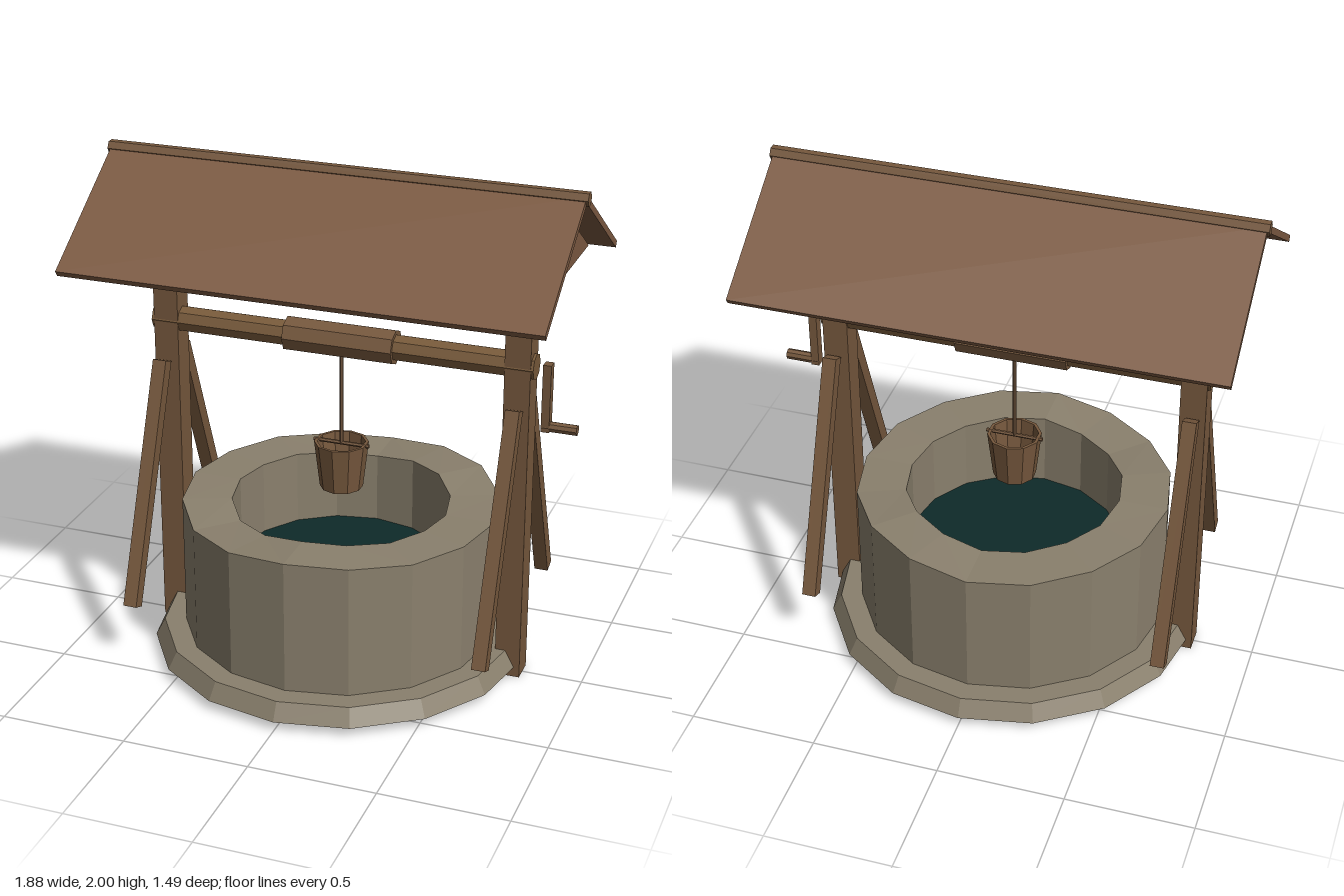
import * as THREE from 'three';

const mat = (name, color, opts = {}) => {
  const m = new THREE.MeshStandardMaterial({ color, flatShading: true, ...opts });
  m.name = name;
  return m;
};

export function createModel() {
  const model = new THREE.Group();
  model.name = 'well';
  const stone = mat('stone', 0x8a806d);
  const wood = mat('wood', 0x76583d);
  const roofWood = mat('roofWood', 0x7c5a42);
  const axleWood = mat('axleWood', 0x785a3a);
  const rope = mat('rope', 0x6a503a);
  const water = mat('water', 0x0e2a29);

  const add = (name, geo, material, x = 0, y = 0, z = 0) => {
    const mesh = new THREE.Mesh(geo, material);
    mesh.name = name;
    mesh.position.set(x, y, z);
    model.add(mesh);
    return mesh;
  };
  const box = (w, h, d) => new THREE.BoxGeometry(w, h, d);
  // cylinder lying along x
  const rod = (r, length, sides) => new THREE.CylinderGeometry(r, r, length, sides).rotateZ(Math.PI / 2);
  const lathe = (pts, sides) => new THREE.LatheGeometry(pts.map(p => new THREE.Vector2(...p)), sides);

  // stone footing and well wall with a slightly uneven rim
  add('footing', new THREE.CylinderGeometry(0.71, 0.747, 0.07, 16), stone, 0, 0.075, 0);
  const wall = lathe([[0.625, 0.1], [0.625, 0.64], [0.43, 0.64], [0.43, 0.1]], 16);
  const p = wall.attributes.position;
  for (let i = 0; i < p.count; i++) {
    if (p.getY(i) < 0.5) continue;
    const a = Math.atan2(p.getX(i), p.getZ(i));
    p.setY(i, 0.638 + 0.009 * Math.sin(3 * a + 0.6) + 0.006 * Math.cos(5 * a));
  }
  wall.computeVertexNormals();
  add('wall', wall, stone);
  add('water', new THREE.CircleGeometry(0.43, 16).rotateX(-Math.PI / 2), water, 0, 0.34, 0);

  // posts with two slanted braces each
  for (const sx of [-1, 1]) {
    add('post', box(0.1, 1.62, 0.1), wood, sx * 0.71, 0.81, 0);
    for (const sz of [-1, 1]) {
      const brace = add('brace', box(0.055, 0.977, 0.055), wood, sx * 0.713, 0.7, sz * 0.268);
      brace.rotation.x = -sz * Math.atan2(0.355, 0.91);
    }
  }

  // windlass: axle, drum and crank
  add('axle', rod(0.052, 1.54, 8), axleWood, 0, 1.304, 0);
  add('drum', rod(0.069, 0.44, 8), wood, 0, 1.304, 0);
  add('crankArm', box(0.032, 0.27, 0.04), wood, 0.815, 1.187, 0);
  add('crankHandle', rod(0.021, 0.135, 8), wood, 0.868, 1.07, 0);

  // rope and open bucket with a cross bar
  add('rope', new THREE.CylinderGeometry(0.008, 0.008, 0.39, 6), rope, 0, 1.065, 0);
  add('bucket', lathe([[0, 0.69], [0.085, 0.69], [0.107, 0.88], [0.095, 0.88], [0.078, 0.71], [0, 0.71]], 10), wood);
  add('bucketBar', rod(0.008, 0.228, 6), wood, 0, 0.874, 0);

  // roof slopes, ridge and gables
  const slope = Math.atan2(0.338, 0.515);
  for (const sz of [-1, 1]) {
    const panel = add('roofPanel', box(1.86, 0.026, 0.617), roofWood, 0, 1.802, sz * 0.257);
    panel.rotation.x = sz * slope;
  }
  add('ridge', rod(0.028, 1.88, 6), wood, 0, 1.972, 0);
  const gable = new THREE.Shape([[-0.46, 1.635], [0.46, 1.635], [0, 1.94]].map(q => new THREE.Vector2(...q)));
  for (const sx of [-1, 1]) {
    const geo = new THREE.ExtrudeGeometry(gable, { depth: 0.03, bevelEnabled: false });
    geo.translate(0, 0, -0.015).rotateY(Math.PI / 2);
    add('gable', geo, roofWood, sx * 0.82, 0, 0);
  }
  return model;
}
